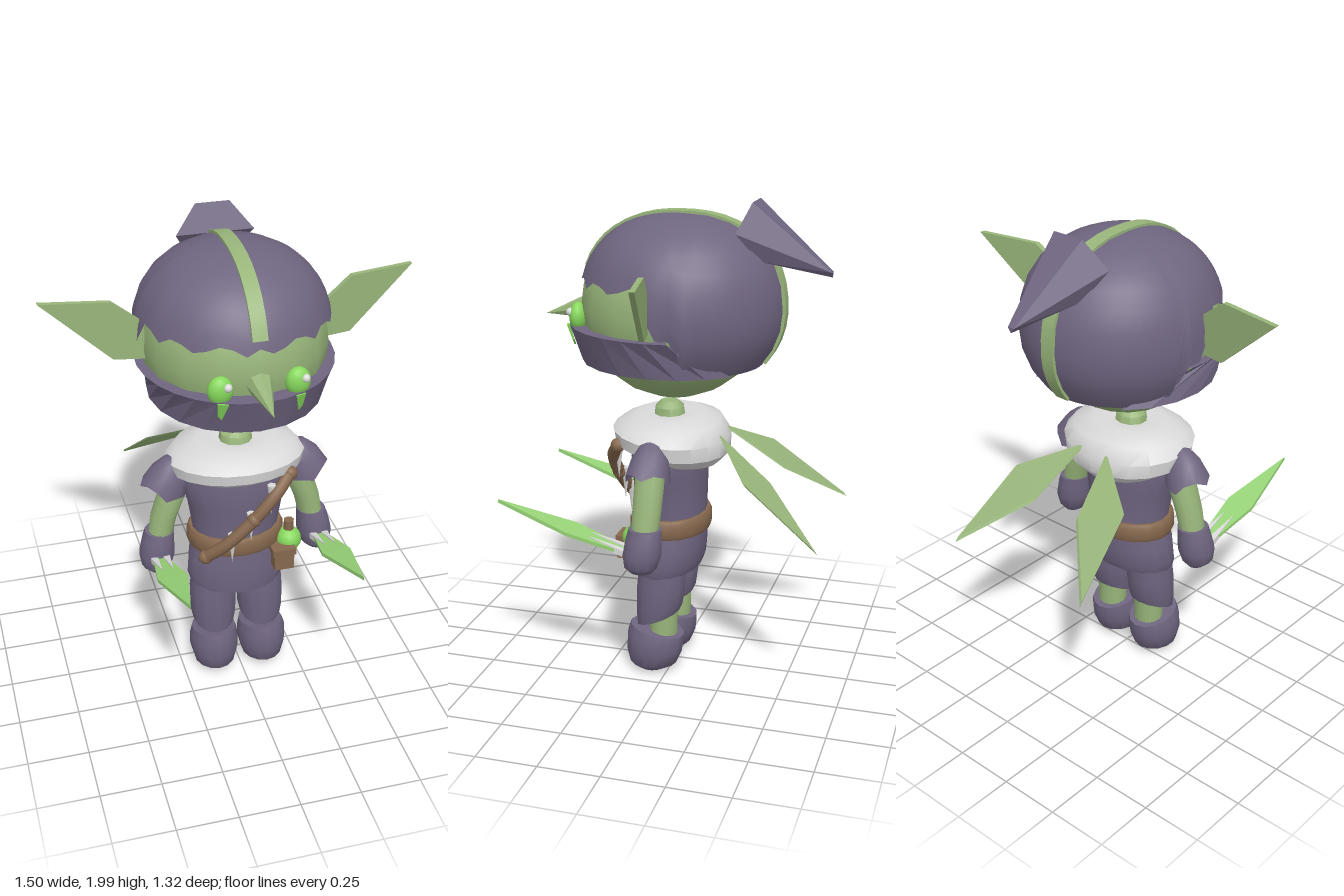
import * as THREE from 'three';
import { toCreasedNormals } from 'three/addons/utils/BufferGeometryUtils.js';
import { ConvexGeometry } from 'three/addons/geometries/ConvexGeometry.js';

const paint = (name, color) => new THREE.MeshStandardMaterial({ name, color, side: THREE.DoubleSide });
const V = (x, y, z) => new THREE.Vector3(x, y, z);

// Skin a list of equal-length rings; rings run bottom to top.
function loft(rings, closed = true, crease = 0.7) {
  const n = rings[0].length, pos = rings.flat().flatMap(p => p.toArray()), idx = [];
  for (let r = 0; r < rings.length - 1; r++)
    for (let i = 0; i < (closed ? n : n - 1); i++) {
      const a = r * n + i, b = r * n + (i + 1) % n;
      idx.push(a, b, b + n, a, b + n, a + n);
    }
  const g = new THREE.BufferGeometry();
  g.setAttribute('position', new THREE.Float32BufferAttribute(pos, 3));
  g.setIndex(idx);
  return toCreasedNormals(g, crease);
}

// Capped stack of ellipses: rows of [y, rx, rz, cz, cx, tilt].
function stack(rows, n = 12) {
  const ring = ([y, rx, rz, cz = 0, cx = 0, tilt = 0], k = 1) => Array.from({ length: n }, (_, i) => {
    const a = i / n * Math.PI * 2;
    return V(cx + k * rx * Math.sin(a), y + k * tilt * rz * Math.cos(a), cz + k * rz * Math.cos(a));
  });
  return loft([ring(rows[0], 0), ...rows.map(r => ring(r)), ring(rows.at(-1), 0)]);
}

// Flat convex plate through the points, thickened along the offset.
const plate = (pts, off) => new ConvexGeometry(pts.flatMap(p => [p.clone().add(off), p.clone().sub(off)]));

export function createModel() {
  const group = new THREE.Group();
  const cloth = paint('purple cloth', 0x6f6580), skin = paint('green skin', 0x98b57a);
  const fur = paint('white fur', 0xdadada), leather = paint('brown leather', 0x86684e);
  const glow = paint('bright green', 0x86d75c), leaf = paint('blade green', 0x98d478);
  const add = (name, geo, mat, x = 0, y = 0, z = 0) => {
    const m = new THREE.Mesh(geo, mat);
    m.name = name;
    m.position.set(x, y, z);
    group.add(m);
    return m;
  };
  const ball = (name, mat, p, r) => {
    const m = add(name, new THREE.SphereGeometry(1, 16, 12), mat, ...p);
    m.scale.set(...r);
    return m;
  };

  // Head
  ball('head', skin, [0, 1.57, 0], [0.37, 0.37, 0.38]);

  // Hood: fuller above the middle, torn over the brow, long at the back
  const hoodPoint = (a, th, grow = 0) => {
    const c = Math.cos(th), e = c > 0 ? 0.87 : 1, s = Math.pow(Math.max(Math.sin(th), 0), e);
    return V((0.395 + grow) * s * Math.sin(a),
      1.57 + (c > 0 ? 0.375 + grow : 0.36 + grow) * Math.sign(c) * Math.pow(Math.abs(c), e),
      -0.03 + (0.415 + grow) * s * Math.cos(a));
  };
  const edgeAngle = y => {
    const s = (y - 1.57) / (y > 1.57 ? 0.375 : 0.36);
    return Math.acos(Math.sign(s) * Math.pow(Math.abs(s), s > 0 ? 1 / 0.87 : 1));
  };
  const jag = [0.01, -0.012, 0.0, 0.02, 0.012, -0.015, 0.015];
  const hoodEdge = (deg, i) => deg < 78 ? 1.68 + jag[i % 7] : deg < 88 ? 1.61 : deg < 100 ? 1.51 : 1.35;
  const hood = [];
  for (let r = 0; r <= 10; r++) {
    hood.push(Array.from({ length: 48 }, (_, i) => {
      const deg = i * 7.5, d = Math.min(deg, 360 - deg);
      return hoodPoint(THREE.MathUtils.degToRad(deg), edgeAngle(hoodEdge(d, i)) * (1 - r / 10));
    }));
  }
  add('hood', loft(hood, true, 1.2), cloth);

  // Crest stripe running over the hood from brow to nape
  const stripe = [];
  for (let i = 0; i <= 24; i++) {
    const t = -1.22 + i / 24 * 3.4, p = hoodPoint(t < 0 ? 0 : Math.PI, Math.abs(t), 0.009);
    const q = hoodPoint(t < 0 ? 0 : Math.PI, Math.abs(t), -0.008);
    stripe.push([V(-0.03, q.y, q.z), V(-0.03, p.y, p.z), V(0.03, p.y, p.z), V(0.03, q.y, q.z)]);
  }
  add('crestStripe', loft(stripe, false), skin);

  // Pointed hood tail
  add('hoodTail', new ConvexGeometry([-1, 1].flatMap(s => [
    V(s * 0.16, 1.89, -0.28), V(s * 0.07, 2.0, -0.325), V(s * 0.1, 1.78, -0.36),
    V(s * 0.015, 1.735, -0.63), V(0, 1.715, -0.63)])), cloth);

  // Mask band with inner lips
  const band = (y, rx, rz, end) => Array.from({ length: 17 }, (_, i) => {
    const a = THREE.MathUtils.degToRad(end * (i / 8 - 1));
    return V(rx * Math.sin(a), y, rz * Math.cos(a));
  });
  add('mask', loft([band(1.35, 0.29, 0.3, 140), band(1.35, 0.35, 0.38, 140),
    band(1.5, 0.395, 0.43, 100), band(1.5, 0.355, 0.365, 100)], false, 0.3), cloth);

  // Nose
  const tip = V(0, 1.505, 0.555), base = V(0, 1.55, 0.34);
  const nose = add('nose', new THREE.ConeGeometry(0.058, tip.distanceTo(base), 8).toNonIndexed(), skin);
  nose.geometry.computeVertexNormals();
  nose.position.copy(tip).add(base).multiplyScalar(0.5);
  nose.quaternion.setFromUnitVectors(V(0, 1, 0), tip.clone().sub(base).normalize());

  for (const s of [-1, 1]) {
    const P = (x, y, z) => V(s * x, y, z);
    // Eyes, glints and drips
    ball('eye', glow, [s * 0.15, 1.535, 0.36], [0.05, 0.058, 0.035]);
    ball('eyeGlint', fur, [s * 0.15 + 0.023, 1.555, 0.385], [0.017, 0.017, 0.017]);
    add('eyeDrip', plate([P(0.13, 1.5, 0.41), P(0.17, 1.5, 0.398), P(0.165, 1.44, 0.377), P(0.15, 1.42, 0.376)],
      V(0, 0, 0.004)), glow);

    // Ears
    const ear = [[0.36, 1.68], [0.48, 1.77], [0.75, 1.77], [0.48, 1.53], [0.36, 1.53]];
    add('ear', plate(ear.map(([x, y]) => P(x, y, 0.01 - 0.19 * (x - 0.39))), V(0, 0, 0.011)), skin);

    // Leaf-shaped cape tails
    add('capeTail', plate([P(0.06, 1.06, -0.2), P(0.295, 0.94, -0.36), P(0.345, 0.71, -0.66), P(0.115, 0.89, -0.43)],
      V(0, 0.008, 0.006)), skin);

    // Arms, sleeves and gloves
    add('arm', stack([[0.68, 0.05, 0.055, 0.035, s * 0.335], [0.8, 0.055, 0.06, 0.03, s * 0.31],
      [0.9, 0.058, 0.062, 0.03, s * 0.275], [1.0, 0.05, 0.055, 0.025, s * 0.255]]), skin);
    const sleeve = [-0.07, 0, 0.055, 0.085].map((y, r) => Array.from({ length: 12 }, (_, i) => {
      const a = i / 12 * Math.PI * 2, rad = [0.096, 0.08, 0.05, 0.0][r];
      return V(rad * Math.sin(a), y - (r === 0 && i % 3 === 0 ? 0.025 : 0), rad * 0.95 * Math.cos(a));
    }));
    add('sleeve', loft(sleeve), cloth, s * 0.275, 1.0, 0.025).rotation.z = s * 0.42;
    add('glove', stack([[0.55, 0.035, 0.045, 0.045, s * 0.35], [0.575, 0.062, 0.068, 0.045, s * 0.35],
      [0.63, 0.076, 0.08, 0.04, s * 0.345], [0.69, 0.068, 0.074, 0.035, s * 0.338],
      [0.73, 0.062, 0.068, 0.032, s * 0.33]]), cloth);

    // Daggers with fangs at the grip
    add('dagger', plate([P(0.32, 0.63, 0.1), P(0.375, 0.63, 0.1), P(0.405, 0.7, 0.34), P(0.345, 0.79, 0.655),
      P(0.282, 0.7, 0.34)], V(0, 0.007, -0.002)), leaf);
    for (const dx of [-0.025, 0.025])
      add('daggerFang', plate([P(0.33 + dx, 0.634, 0.11), P(0.36 + dx, 0.634, 0.11), P(0.345 + dx * 0.9, 0.676, 0.26)],
        V(0, 0.012, -0.002)), fur);

    // Legs, shins and rounded boots
    add('trouserLeg', stack([[0.25, 0.09, 0.09, 0.045, s * 0.105, -0.4], [0.3, 0.1, 0.1, 0.04, s * 0.105, -0.2],
      [0.4, 0.102, 0.105, 0.033, s * 0.103], [0.52, 0.095, 0.1, 0.025, s * 0.1]]), cloth);
    add('shin', stack([[0.1, 0.065, 0.06, 0.025, s * 0.105], [0.32, 0.065, 0.06, 0.02, s * 0.105]]), skin);
    add('boot', stack([[0.01, 0.05, 0.055, 0.075, s * 0.105], [0.04, 0.088, 0.1, 0.068, s * 0.108],
      [0.1, 0.104, 0.12, 0.062, s * 0.108], [0.16, 0.104, 0.122, 0.058, s * 0.108, 0.1],
      [0.195, 0.095, 0.115, 0.05, s * 0.106, 0.2]], 14), cloth);
  }

  // Torso and tunic skirt
  add('torso', stack([[0.6, 0.185, 0.145, 0.015], [0.72, 0.185, 0.145, 0.015], [0.85, 0.205, 0.152, 0.02],
    [0.95, 0.235, 0.155, 0.02], [1.05, 0.22, 0.14, 0.015]], 16), cloth);
  add('tunicSkirt', stack([[0.45, 0.2, 0.138, 0.03, 0, -0.1], [0.49, 0.212, 0.148, 0.025, 0, -0.05],
    [0.57, 0.205, 0.15, 0.02], [0.65, 0.187, 0.146, 0.015]], 16), cloth);

  // Neck and fur collar
  add('neck', stack([[1.08, 0.075, 0.07, 0.025], [1.15, 0.065, 0.06, 0.025], [1.175, 0.035, 0.035, 0.025]], 10), skin);
  add('furCollar', stack([[0.94, 0.14, 0.12, 0, 0, 0.15], [0.955, 0.21, 0.185, 0, 0, 0.15],
    [1.0, 0.28, 0.235, 0.01, 0, 0.12], [1.055, 0.29, 0.24, 0.012, 0, 0.08],
    [1.1, 0.25, 0.205, 0.015], [1.13, 0.16, 0.13, 0.02], [1.12, 0.08, 0.07, 0.02]], 20), fur);

  // Belt
  add('belt', stack([[0.63, 0.2, 0.158, 0.015], [0.645, 0.207, 0.165, 0.015], [0.695, 0.207, 0.165, 0.015],
    [0.71, 0.198, 0.156, 0.015]], 18), leather);

  // Bandolier with hanging fangs
  const strap = new THREE.CatmullRomCurve3([V(-0.17, 0.66, 0.18), V(-0.09, 0.74, 0.225), V(0.02, 0.85, 0.24),
    V(0.11, 0.95, 0.235), V(0.185, 1.02, 0.19)]);
  add('bandolier', new THREE.TubeGeometry(strap, 16, 0.026, 8), leather);
  for (const t of [0, 0.5, 1]) {
    const p = strap.getPoint(t);
    add('bandolierKnot', new THREE.SphereGeometry(0.03, 10, 8), leather, p.x, p.y, p.z);
  }
  for (const [x, y] of [[-0.065, 0.71], [0.015, 0.8], [0.1, 0.92]])
    add('bandolierFang', new THREE.ConeGeometry(0.019, 0.14, 6), fur, x, y, 0.215).rotation.x = Math.PI;

  // Belt pouch and potion flask
  add('pouch', new THREE.BoxGeometry(0.085, 0.08, 0.08), leather, 0.17, 0.58, 0.15);
  add('pouchLid', new THREE.BoxGeometry(0.1, 0.03, 0.09), leather, 0.17, 0.625, 0.15);
  add('flask', new THREE.SphereGeometry(0.055, 14, 10), glow, 0.21, 0.64, 0.11);
  add('flaskCork', new THREE.CylinderGeometry(0.022, 0.022, 0.06, 8), leather, 0.21, 0.705, 0.11);

  return group;
}
